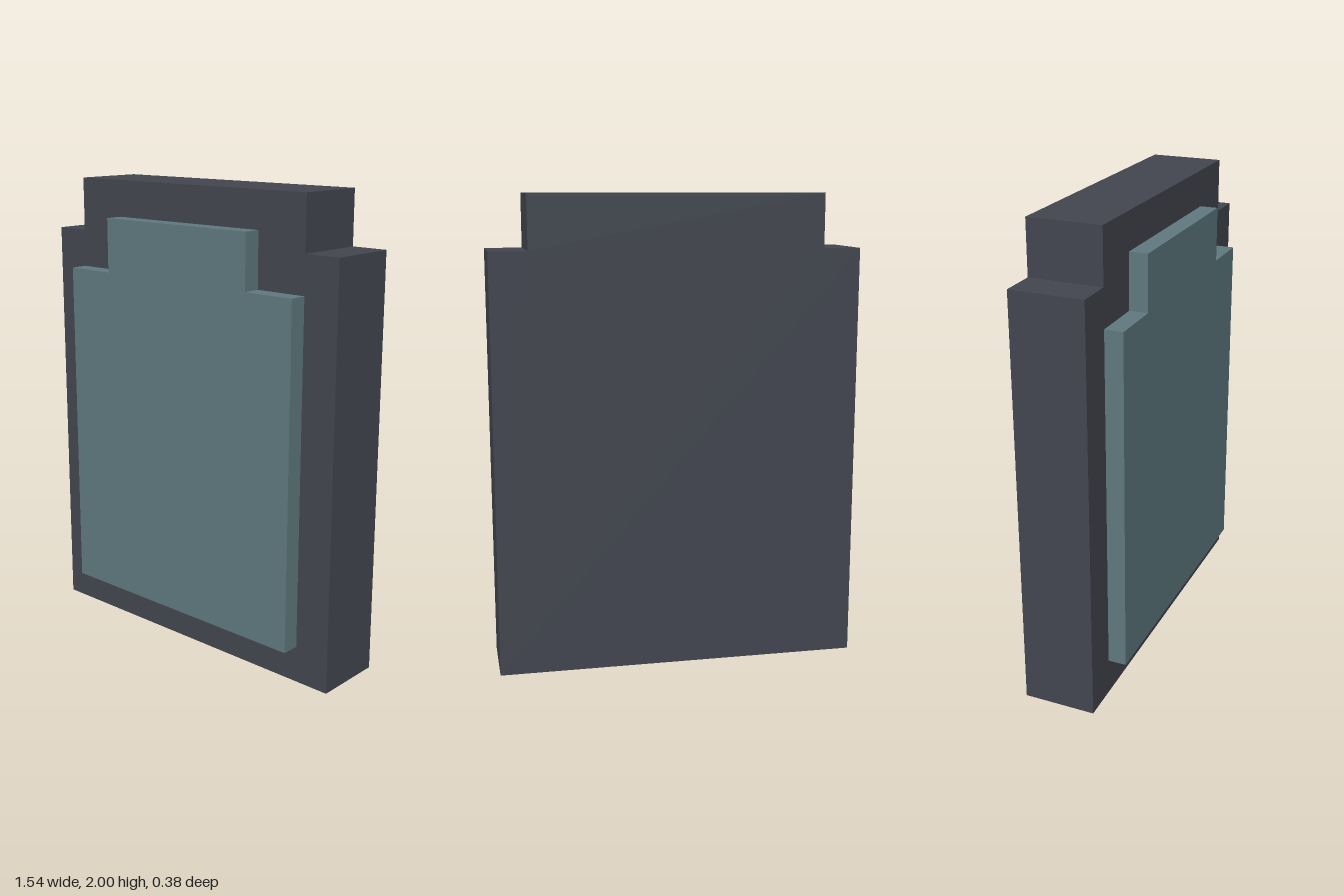
import * as THREE from 'three';

// Upright slab whose two top corners are notched into a step
function steppedSlab(name, color, { halfWidth, halfTop, bottom, shoulder, top, back, front }) {
  const right = [[halfWidth, bottom], [halfWidth, shoulder], [halfTop, shoulder], [halfTop, top]];
  const left = right.map(([x, y]) => [-x, y]).reverse();
  const shape = new THREE.Shape([...right, ...left].map(([x, y]) => new THREE.Vector2(x, y)));
  const geometry = new THREE.ExtrudeGeometry(shape, { depth: front - back, bevelEnabled: false });
  geometry.translate(0, 0, back);
  const mesh = new THREE.Mesh(geometry, new THREE.MeshStandardMaterial({ color, flatShading: true }));
  mesh.name = name;
  return mesh;
}

export function createModel() {
  const model = new THREE.Group();
  model.name = 'steppedTablet';

  // Thick dark body
  model.add(steppedSlab('body', 0x42464f, {
    halfWidth: 0.77, halfTop: 0.613, bottom: 0, shoulder: 1.773, top: 2, back: -0.192, front: 0.115,
  }));

  // Thin raised panel on the front
  model.add(steppedSlab('frontPanel', 0x5f797f, {
    halfWidth: 0.613, halfTop: 0.384, bottom: 0.157, shoulder: 1.613, top: 1.845, back: 0.115, front: 0.192,
  }));

  return model;
}
